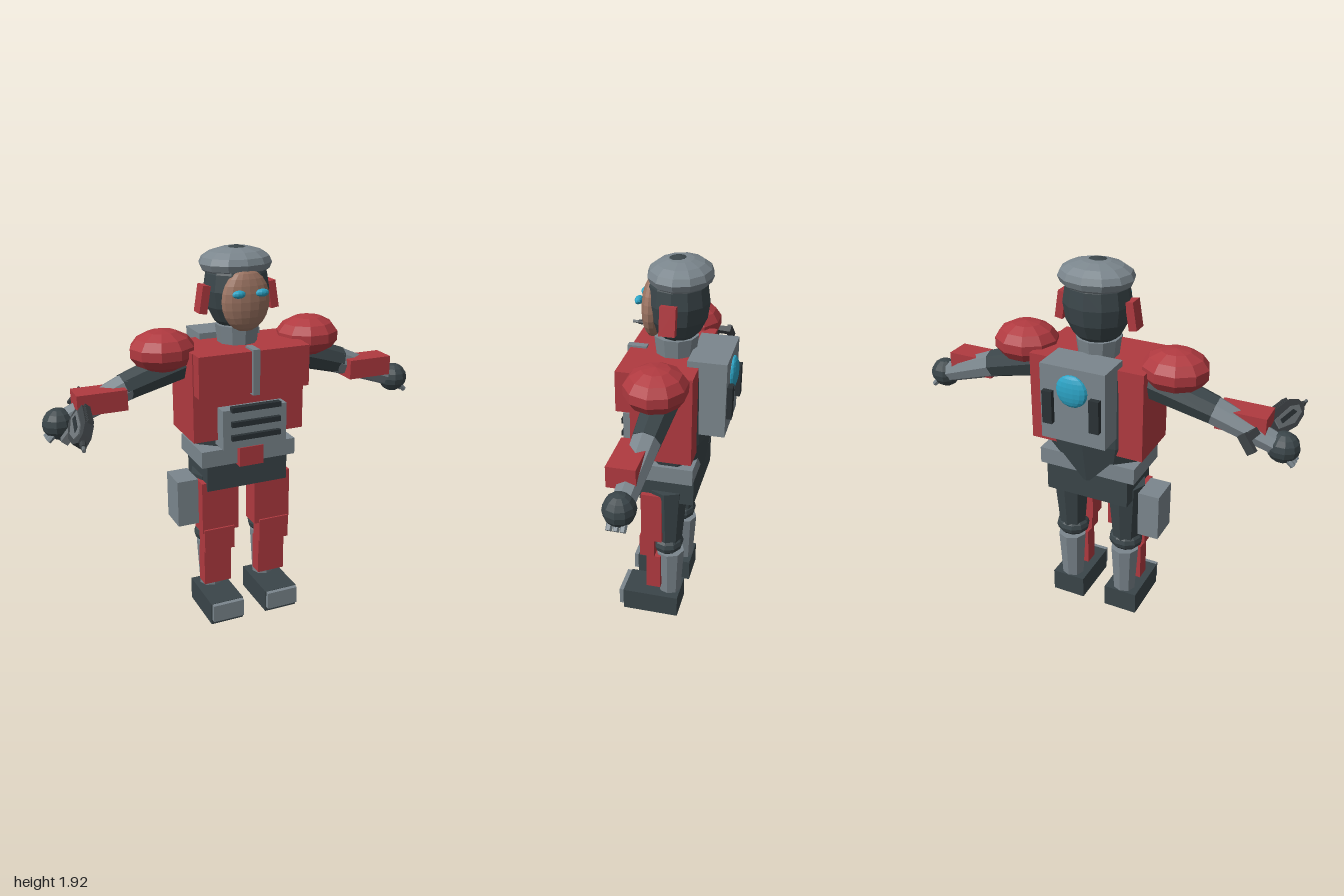
import * as THREE from 'three';

const mat = (name, color) => new THREE.MeshStandardMaterial({ name, color, flatShading: true });

export function createModel() {
  const red = mat('armorRed', 0xb03a40);
  const grey = mat('plateGrey', 0x7b868d);
  const dark = mat('suitDark', 0x3a4549);
  const skin = mat('skin', 0x9c7462);
  const cyan = mat('glowCyan', 0x2ca4c6);
  const black = mat('ventBlack', 0x2a3135);
  const gunDark = mat('gunDark', 0x3d4245);
  const gunGrey = mat('gunGrey', 0x6a7175);

  const model = new THREE.Group();
  model.name = 'armoredTrooper';

  const add = (parent, name, geo, material) => {
    const m = new THREE.Mesh(geo, material);
    m.name = name;
    parent.add(m);
    return m;
  };
  // box given by its min and max on each axis
  const box = (parent, name, material, x0, x1, y0, y1, z0, z1) => {
    const m = add(parent, name, new THREE.BoxGeometry(x1 - x0, y1 - y0, z1 - z0), material);
    m.position.set((x0 + x1) / 2, (y0 + y1) / 2, (z0 + z1) / 2);
    return m;
  };
  const ball = (parent, name, material, c, r, w = 10, h = 8) => {
    const m = add(parent, name, new THREE.SphereGeometry(1, w, h), material);
    m.position.set(...c);
    m.scale.set(...r);
    return m;
  };
  // tapered limb from a to b
  const limb = (parent, name, material, a, b, ra, rb, sides = 8) => {
    const A = new THREE.Vector3(...a), B = new THREE.Vector3(...b);
    const d = B.clone().sub(A);
    const m = add(parent, name, new THREE.CylinderGeometry(rb, ra, d.length(), sides), material);
    m.position.copy(A).add(B).multiplyScalar(0.5);
    m.quaternion.setFromUnitVectors(new THREE.Vector3(0, 1, 0), d.normalize());
    return m;
  };

  // head
  const head = new THREE.Group();
  head.name = 'head';
  model.add(head);
  ball(head, 'skull', dark, [0, 1.71, -0.09], [0.165, 0.21, 0.15], 12, 8);
  ball(head, 'face', skin, [0, 1.67, 0.025], [0.125, 0.15, 0.055], 16, 12);
  ball(head, 'cap', grey, [0, 1.835, -0.1], [0.185, 0.078, 0.155], 12, 8);
  limb(head, 'neck', grey, [0, 1.42, -0.08], [0, 1.54, -0.08], 0.095, 0.11, 10);
  for (const s of [-1, 1]) {
    ball(head, 'eye', cyan, [s * 0.06, 1.713, 0.083], [0.034, 0.019, 0.019], 10, 8);
    box(head, 'earGuard', red, s * 0.18 - 0.02, s * 0.18 + 0.02, 1.605, 1.74, -0.12, -0.045)
      .rotation.z = s * 0.16;
  }

  // torso
  const torso = new THREE.Group();
  torso.name = 'torso';
  model.add(torso);
  box(torso, 'torsoShell', red, -0.295, 0.295, 1.0, 1.45, -0.225, 0.07);
  for (const s of [-1, 1])
    box(torso, 'chestPlate', red, s > 0 ? 0.005 : -0.29, s > 0 ? 0.29 : -0.005, 1.245, 1.45, 0.05, 0.14);
  box(torso, 'chestStrip', grey, -0.018, 0.018, 1.235, 1.46, 0.06, 0.155);
  box(torso, 'bellyPanel', grey, -0.17, 0.17, 0.97, 1.17, 0.04, 0.14);
  for (const y of [1.175, 1.1, 1.03])
    box(torso, 'bellyVent', black, -0.13, 0.13, y - 0.013, y + 0.013, 0.13, 0.162);
  const waist = add(torso, 'waist', new THREE.LatheGeometry(
    [[0, 1.4], [0.27, 1.4], [0.275, 1.04], [0.21, 0.82], [0, 0.82]]
      .reverse().map(p => new THREE.Vector2(...p)), 10), dark);
  waist.scale.z = 0.61;
  waist.position.z = -0.1;

  // backpack
  box(torso, 'backpack', grey, -0.165, 0.165, 1.1, 1.48, -0.357, -0.17);
  ball(torso, 'backpackLight', cyan, [0, 1.37, -0.36], [0.08, 0.08, 0.026], 14, 10);
  for (const s of [-1, 1])
    box(torso, 'backpackVent', black, s * 0.12 - 0.025, s * 0.12 + 0.025, 1.19, 1.355, -0.383, -0.35);

  // belt and hips
  box(torso, 'belt', grey, -0.255, 0.255, 0.86, 0.945, -0.225, 0.07);
  box(torso, 'buckle', red, -0.065, 0.065, 0.85, 0.95, 0.05, 0.1);
  box(torso, 'hips', dark, -0.22, 0.22, 0.72, 0.87, -0.225, 0.05);
  ball(torso, 'crotch', dark, [0, 0.75, -0.09], [0.09, 0.07, 0.09]);
  box(torso, 'hipPouch', grey, -0.362, -0.252, 0.53, 0.775, -0.16, 0.0);

  for (const s of [-1, 1]) {
    const side = s > 0 ? 'left' : 'right';
    // arm
    const arm = new THREE.Group();
    arm.name = side + 'Arm';
    model.add(arm);
    ball(arm, 'shoulderPad', red, [s * 0.39, 1.443, -0.08], [0.165, 0.103, 0.15], 10, 7);
    limb(arm, 'upperArm', dark, [s * 0.26, 1.38, -0.1], [s * 0.59, 1.28, -0.085], 0.09, 0.07);
    limb(arm, 'forearm', grey, [s * 0.57, 1.285, -0.085], [s * 0.9, 1.16, -0.065], 0.07, 0.052);
    box(arm, 'forearmPlate', red, s * 0.72 - 0.12, s * 0.72 + 0.12, 1.2, 1.3, -0.11, 0.02);
    ball(arm, 'hand', dark, [s * 0.915, 1.155, -0.06], [0.078, 0.075, 0.073]);
    for (const z of [-0.09, -0.06, -0.03])
      limb(arm, 'finger', grey, [s * 0.93, 1.13, z], [s * 0.975, 1.085, z], 0.016, 0.014, 6);

    // leg
    const leg = new THREE.Group();
    leg.name = side + 'Leg';
    leg.position.x = s * 0.155;
    model.add(leg);
    limb(leg, 'thigh', dark, [0, 0.78, -0.085], [0, 0.44, -0.085], 0.1, 0.07);
    ball(leg, 'knee', dark, [0, 0.43, -0.085], [0.09, 0.06, 0.08]);
    limb(leg, 'shin', grey, [0, 0.38, -0.095], [0, 0.1, -0.095], 0.075, 0.058);
    const t = s * 0.01;
    box(leg, 'thighPlate', red, -0.1 - t, 0.1 - t, 0.48, 0.76, -0.07, 0.037);
    box(leg, 'kneePlate', red, -0.083, 0.083, 0.375, 0.5, -0.03, 0.047);
    box(leg, 'shinPlate', red, -0.075, 0.075, 0.168, 0.37, -0.06, 0.014);
    box(leg, 'foot', dark, -0.09, 0.09, 0, 0.12, -0.155, 0.14);
    box(leg, 'toeCap', grey, -0.085, 0.085, 0.025, 0.118, 0.13, 0.163);
  }

  // rifle, built along its own +z and rolled over the right hand
  const rifle = new THREE.Group();
  rifle.name = 'rifle';
  rifle.position.set(-0.855, 1.195, 0.12);
  rifle.up.set(0.62, 0.78, 0);
  rifle.lookAt(-0.901, 1.183, 0.385);
  model.add(rifle);
  const plate = (name, material, pts, width) => {
    const geo = new THREE.ExtrudeGeometry(
      new THREE.Shape(pts.map(p => new THREE.Vector2(...p))), { depth: width, bevelEnabled: false });
    geo.translate(0, 0, -width / 2).rotateY(-Math.PI / 2);
    add(rifle, name, geo, material);
  };
  plate('rifleBody', gunDark, [[-0.16, -0.02], [-0.1, -0.05], [0.05, -0.065], [0.15, -0.045],
    [0.2, -0.01], [0.18, 0.03], [0.1, 0.06], [-0.1, 0.06], [-0.16, 0.03]], 0.045);
  plate('rifleSidePanel', gunGrey, [[-0.1, -0.02], [0.04, -0.045], [0.14, -0.025],
    [0.15, 0.01], [0.08, 0.03], [-0.1, 0.025]], 0.056);
  plate('rifleSlot', black, [[-0.06, -0.01], [0.1, -0.01], [0.08, 0.012], [-0.06, 0.012]], 0.062);
  for (let i = 0; i < 11; i++)
    box(rifle, 'railTooth', gunDark, -0.015, 0.015, 0.055, 0.073, -0.1 + i * 0.019, -0.09 + i * 0.019);
  limb(rifle, 'barrel', gunDark, [0, -0.005, 0.17], [0, -0.005, 0.235], 0.016, 0.014);
  limb(rifle, 'muzzle', gunGrey, [0, -0.005, 0.225], [0, -0.005, 0.272], 0.009, 0.009);
  box(rifle, 'stockBar', gunDark, -0.016, 0.016, 0.015, 0.05, -0.34, -0.12);
  box(rifle, 'stockPad', gunDark, -0.022, 0.022, -0.035, 0.06, -0.355, -0.33);
  box(rifle, 'grip', gunGrey, -0.018, 0.018, -0.15, -0.02, -0.17, -0.125).rotation.x = 0.2;
  box(rifle, 'magazine', gunGrey, -0.018, 0.018, -0.12, -0.03, -0.08, -0.03);

  return model;
}
